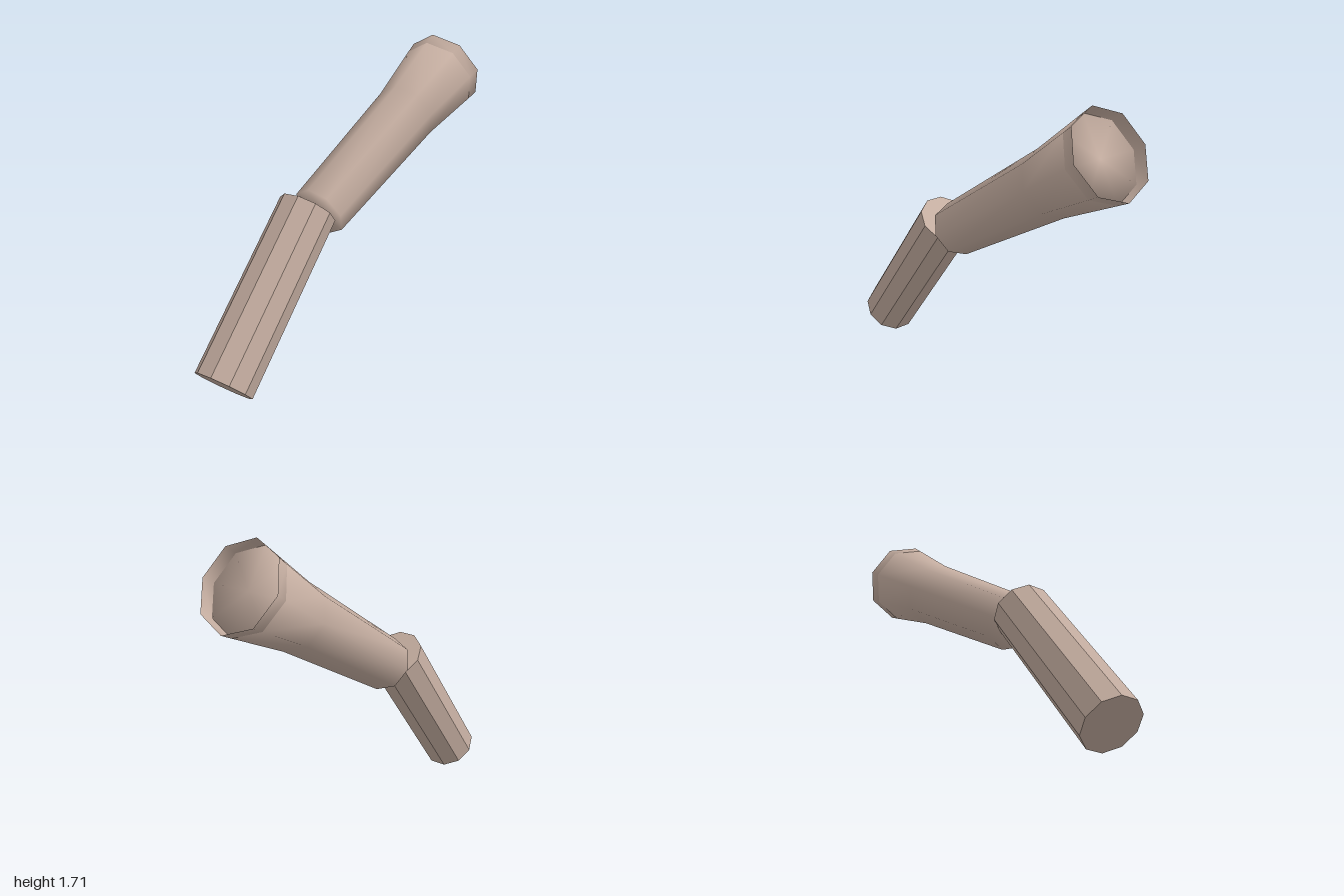
import * as THREE from 'three';
import { mergeVertices } from 'three/addons/utils/BufferGeometryUtils.js';

const clay = new THREE.MeshStandardMaterial({ color: 0xc4ada0, side: THREE.DoubleSide });
clay.name = 'clay';

// Eight-sided turned form with normals smoothed over every edge
function smoothLathe(profile) {
  const geo = new THREE.LatheGeometry(profile.map(([r, y]) => new THREE.Vector2(r, y)), 8);
  geo.deleteAttribute('uv');
  geo.deleteAttribute('normal');
  const merged = mergeVertices(geo);
  merged.computeVertexNormals();
  return merged;
}

// Stand a group at a start point with its y axis aimed at an end point
function aim(group, [x0, y0], [x1, y1]) {
  group.position.set(x0, y0, 0);
  group.rotation.z = -Math.atan2(x1 - x0, y1 - y0);
  return group;
}

function addMesh(parent, name, geo) {
  const mesh = new THREE.Mesh(geo, clay);
  mesh.name = name;
  parent.add(mesh);
  return mesh;
}

export function createModel() {
  const model = new THREE.Group();
  model.name = 'jointedLimb';

  // Lower segment: faceted ten-sided prism
  const lower = aim(new THREE.Group(), [-0.885, 0.092], [-0.295, 0.865]);
  lower.name = 'lowerSegment';
  const length = 0.973;
  const prism = new THREE.CylinderGeometry(0.154, 0.154, length, 10).toNonIndexed();
  prism.computeVertexNormals();
  prism.translate(0, length / 2, 0);
  addMesh(lower, 'lowerPrism', prism);

  // Upper segment: smooth flared tube with closed ends
  const upper = aim(new THREE.Group(), [-0.21, 0.835], [0.8725, 1.5225]);
  upper.name = 'upperSegment';
  addMesh(upper, 'upperTube', smoothLathe([
    [0, 0], [0.149, 0], [0.178, 0.848], [0.222, 1.212], [0, 1.212],
  ]));

  // Thin open collar around the recessed end
  addMesh(upper, 'endCollar', smoothLathe([[0.222, 1.212], [0.23, 1.282]]));

  model.add(lower, upper);
  return model;
}
